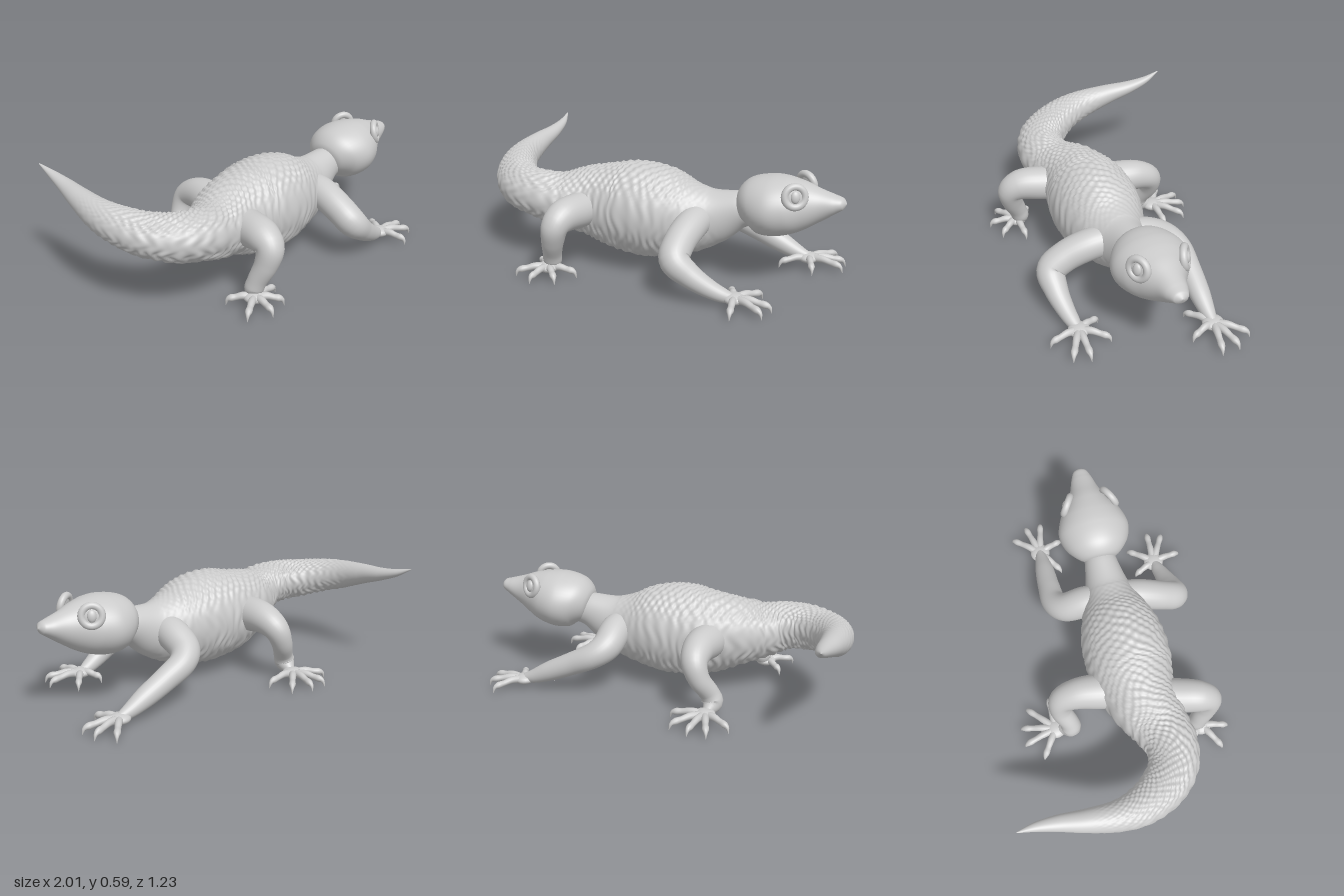
import * as THREE from 'three';

const skin = new THREE.MeshStandardMaterial({ color: 0xcccccc, side: THREE.DoubleSide });
const MID = 0.11; // z of the head's centre line

function addMesh(parent, name, geometry) {
  const mesh = new THREE.Mesh(geometry, skin);
  mesh.name = name;
  parent.add(mesh);
  return mesh;
}

// Sweep an ellipse along stations [x, y, z, halfWidth, halfHeight].
// upright keeps the cross-section level; bump(u, angle) offsets the surface.
function loft(stations, rings, sides, upright = false, bump = null) {
  const path = new THREE.CatmullRomCurve3(stations.map(s => new THREE.Vector3(s[0], s[1], s[2])));
  const size = new THREE.CatmullRomCurve3(
    stations.map(s => new THREE.Vector3(s[3], s[4] ?? s[3], 0)), false, 'catmullrom');
  const frames = path.computeFrenetFrames(rings);
  const up = new THREE.Vector3(0, 1, 0);
  const positions = [], index = [];
  for (let i = 0; i <= rings; i++) {
    const u = i / rings, t = path.getUtoTmapping(u);
    const centre = path.getPoint(t), r = size.getPoint(t);
    const T = frames.tangents[i];
    const N = upright ? up.clone().cross(T).normalize() : frames.normals[i];
    const B = T.clone().cross(N);
    for (let j = 0; j < sides; j++) {
      const a = j / sides * Math.PI * 2, d = bump ? bump(u, a) : 0;
      const p = centre.clone()
        .addScaledVector(N, Math.cos(a) * (Math.max(r.x, 0.001) + d))
        .addScaledVector(B, Math.sin(a) * (Math.max(r.y, 0.001) + d));
      positions.push(p.x, p.y, p.z);
      if (i < rings) {
        const k = (j + 1) % sides, a0 = i * sides, b0 = a0 + sides;
        index.push(a0 + j, a0 + k, b0 + j, a0 + k, b0 + k, b0 + j);
      }
    }
  }
  const g = new THREE.BufferGeometry();
  g.setAttribute('position', new THREE.Float32BufferAttribute(positions, 3));
  g.setIndex(index);
  g.computeVertexNormals();
  return g;
}

// Skin relief: pebbles on the back, soft folds on the flanks, ridges on the belly
function scales(u, a) {
  const smooth = THREE.MathUtils.smoothstep;
  const s = Math.sin(a);
  const back = smooth(s, 0.35, 0.75), belly = smooth(-s, 0.1, 0.5);
  const wobble = Math.sin(a * 5 + u * 31) * 0.9 + Math.sin(a * 9 - u * 47) * 0.6;
  const pebble = Math.sin(u * 320 + wobble) * Math.sin(a * 20 + Math.sin(u * 60));
  const fold = Math.sin(u * 230 + wobble * 1.2);
  const ridge = Math.sin(u * 310 + wobble * 1.8) * (0.75 + 0.25 * Math.sin(a * 14 + u * 90));
  const fade = smooth(u, 0.08, 0.25) * (1 - smooth(u, 0.62, 0.85));
  return fade * (back * pebble * 0.007 + belly * ridge * 0.006
    + (1 - back) * (1 - belly) * fold * 0.003);
}

function buildBody(group) {
  addMesh(group, 'bodyAndTail', loft([
    [0.56, 0.40, 0.11, 0.08, 0.08],
    [0.46, 0.385, 0.11, 0.09, 0.098],
    [0.32, 0.335, 0.115, 0.125, 0.15],
    [0.20, 0.315, 0.12, 0.175, 0.195],
    [0.05, 0.32, 0.125, 0.22, 0.24],
    [-0.08, 0.325, 0.13, 0.23, 0.25],
    [-0.20, 0.325, 0.13, 0.22, 0.235],
    [-0.35, 0.335, 0.15, 0.185, 0.195],
    [-0.50, 0.34, 0.205, 0.155, 0.15],
    [-0.62, 0.365, 0.235, 0.137, 0.127],
    [-0.74, 0.38, 0.21, 0.128, 0.117],
    [-0.84, 0.398, 0.12, 0.117, 0.106],
    [-0.905, 0.427, 0, 0.10, 0.094],
    [-0.93, 0.452, -0.12, 0.08, 0.082],
    [-0.925, 0.488, -0.28, 0.06, 0.058],
    [-0.91, 0.517, -0.42, 0.042, 0.037],
    [-0.908, 0.546, -0.53, 0.024, 0.021],
    [-0.92, 0.582, -0.62, 0.003, 0.003],
  ], 360, 100, true, scales));
}

function buildHead(group) {
  addMesh(group, 'head', loft([
    [0.458, 0.405, MID, 0.01, 0.01],
    [0.475, 0.41, MID, 0.095, 0.08],
    [0.54, 0.428, MID, 0.165, 0.138],
    [0.63, 0.435, MID, 0.195, 0.154],
    [0.72, 0.446, MID, 0.172, 0.144],
    [0.80, 0.458, MID, 0.122, 0.118],
    [0.87, 0.468, MID, 0.082, 0.084],
    [0.94, 0.48, MID, 0.058, 0.05],
    [0.985, 0.487, MID, 0.036, 0.028],
    [1.0, 0.488, MID, 0.004, 0.004],
  ], 70, 48, true));

  // Ringed eyes facing outward and a little forward
  for (const side of [-1, 1]) {
    const eye = new THREE.Group();
    eye.name = side > 0 ? 'nearEye' : 'farEye';
    addMesh(eye, 'eyelid', new THREE.TorusGeometry(0.05, 0.019, 16, 40));
    addMesh(eye, 'eyeSocket', new THREE.SphereGeometry(0.052, 28, 18)).scale.z = 0.25;
    const ball = addMesh(eye, 'eyeball', new THREE.SphereGeometry(0.026, 24, 16));
    ball.scale.set(0.9, 1.2, 0.6);
    ball.position.z = 0.01;
    eye.position.set(0.77, 0.53, MID + side * 0.118);
    eye.lookAt(eye.position.clone().add(new THREE.Vector3(0.5, 0.18, side * 0.85)));
    group.add(eye);
  }
}

// Limb, palm and five clawed toes; toes are [x, z] claw tips on the ground
function buildLeg(group, name, stations, palm, toes) {
  const leg = new THREE.Group();
  leg.name = name;
  addMesh(leg, 'limb', loft(stations, 48, 28));
  const [px, pz] = palm;
  const pad = addMesh(leg, 'palm', new THREE.SphereGeometry(0.056, 24, 14));
  pad.scale.y = 0.5;
  pad.position.set(px, 0.05, pz);
  for (const [x, z] of toes) {
    const at = (f, y, r) => [px + (x - px) * f, y, pz + (z - pz) * f, r];
    addMesh(leg, 'toe', loft([
      at(0.1, 0.05, 0.022), at(0.4, 0.058, 0.019), at(0.65, 0.05, 0.016),
      at(0.82, 0.046, 0.018), at(0.93, 0.038, 0.011), at(1, 0.006, 0.001),
    ], 20, 12));
  }
  group.add(leg);
}

export function createModel() {
  const model = new THREE.Group();
  model.name = 'lizard';
  buildBody(model);
  buildHead(model);

  buildLeg(model, 'nearFrontLeg', [
    [0.27, 0.34, 0.12, 0.08], [0.255, 0.325, 0.27, 0.083], [0.24, 0.27, 0.41, 0.08],
    [0.25, 0.215, 0.485, 0.077], [0.33, 0.15, 0.49, 0.062], [0.43, 0.09, 0.475, 0.047],
    [0.50, 0.06, 0.46, 0.036], [0.55, 0.05, 0.45, 0.02],
  ], [0.55, 0.45], [[0.495, 0.33], [0.655, 0.315], [0.745, 0.455], [0.72, 0.54], [0.58, 0.61]]);

  buildLeg(model, 'farFrontLeg', [
    [0.26, 0.34, 0.11, 0.08], [0.275, 0.325, -0.02, 0.086], [0.29, 0.275, -0.13, 0.08],
    [0.345, 0.235, -0.18, 0.07], [0.47, 0.175, -0.19, 0.062], [0.60, 0.115, -0.19, 0.054],
    [0.70, 0.07, -0.19, 0.038], [0.77, 0.05, -0.19, 0.02],
  ], [0.755, -0.19], [[0.62, -0.09], [0.88, -0.335], [0.945, -0.245], [0.95, -0.15], [0.81, -0.055]]);

  buildLeg(model, 'nearHindLeg', [
    [-0.33, 0.33, 0.18, 0.09], [-0.36, 0.335, 0.32, 0.093], [-0.39, 0.335, 0.44, 0.085],
    [-0.405, 0.30, 0.495, 0.072], [-0.425, 0.22, 0.49, 0.06], [-0.45, 0.13, 0.455, 0.05],
    [-0.46, 0.075, 0.44, 0.047], [-0.465, 0.045, 0.45, 0.02],
  ], [-0.475, 0.46], [[-0.62, 0.55], [-0.505, 0.61], [-0.38, 0.57], [-0.315, 0.45], [-0.575, 0.36]]);

  buildLeg(model, 'farHindLeg', [
    [-0.26, 0.32, 0.12, 0.09], [-0.25, 0.335, -0.03, 0.097], [-0.235, 0.34, -0.18, 0.083],
    [-0.24, 0.30, -0.265, 0.069], [-0.27, 0.22, -0.28, 0.057], [-0.32, 0.13, -0.245, 0.052],
    [-0.335, 0.085, -0.245, 0.055], [-0.32, 0.05, -0.30, 0.025],
  ], [-0.315, -0.325], [[-0.465, -0.42], [-0.37, -0.51], [-0.27, -0.515], [-0.165, -0.465], [-0.13, -0.33]]);

  return model;
}
